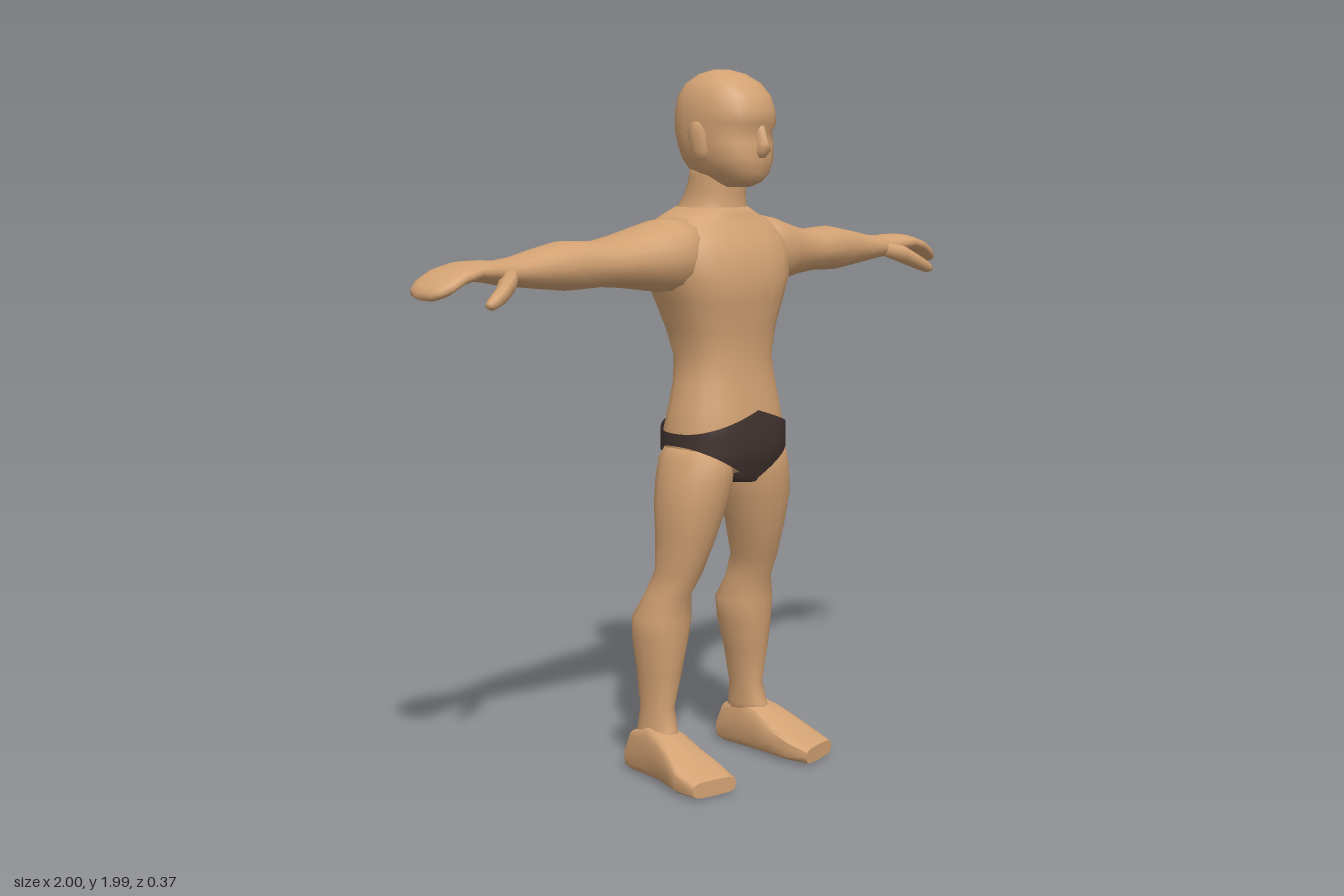
import * as THREE from 'three';
import { toCreasedNormals } from 'three/addons/utils/BufferGeometryUtils.js';

const skin = new THREE.MeshStandardMaterial({ color: 0xd3a273 });
skin.name = 'skin';
const cloth = new THREE.MeshStandardMaterial({ color: 0x41332f, side: THREE.DoubleSide });
cloth.name = 'dark cloth';

const spow = (c, e) => Math.sign(c) * Math.pow(Math.abs(c), 2 / e);

// Closed loft along an axis. Row: [position, uMin, uMax, vMin, vMax],
// where (u, v) is (y, z) for x, (z, x) for y and (x, y) for z.
function loft(axis, rows, n = 16, e = 2.3, mirror = false) {
  const w = 'xyz'.indexOf(axis), pos = [], idx = [];
  const put = (t, u, v) => {
    const p = [0, 0, 0];
    p[w] = t; p[(w + 1) % 3] = u; p[(w + 2) % 3] = v;
    pos.push(mirror ? -p[0] : p[0], p[1], p[2]);
  };
  const tri = (a, b, c) => (mirror ? idx.push(a, c, b) : idx.push(a, b, c));
  for (const [t, u0, u1, v0, v1] of rows) {
    for (let j = 0; j < n; j++) {
      const a = (j / n) * Math.PI * 2;
      put(t, (u0 + u1) / 2 + (u1 - u0) / 2 * spow(Math.cos(a), e),
        (v0 + v1) / 2 + (v1 - v0) / 2 * spow(Math.sin(a), e));
    }
  }
  const last = rows.length - 1, c0 = rows.length * n;
  for (const r of [rows[0], rows[last]]) put(r[0], (r[1] + r[2]) / 2, (r[3] + r[4]) / 2);
  for (let j = 0; j < n; j++) {
    const k = (j + 1) % n;
    for (let i = 0; i < last; i++) {
      const a = i * n + j, b = i * n + k;
      tri(a, b, a + n);
      tri(b, b + n, a + n);
    }
    tri(c0, k, j);
    tri(c0 + 1, last * n + j, last * n + k);
  }
  const g = new THREE.BufferGeometry();
  g.setAttribute('position', new THREE.Float32BufferAttribute(pos, 3));
  g.setIndex(idx);
  g.computeVertexNormals();
  return g;
}

// Symmetric row for lofts along y: height, back, front, half width
const sym = ([y, back, front, half]) => [y, back, front, -half, half];

// Briefs: a shell between a raised waistline and high-cut leg openings
function briefsGeometry(n = 64, m = 6) {
  const pos = [], idx = [];
  const depth = y => (y < 0.93 ? 0.115 + (y - 0.85) * 0.33 : 0.1415 - Math.max(0, y - 1) * 0.13);
  for (let i = 0; i <= m; i++) {
    for (let j = 0; j < n; j++) {
      const a = (j / n) * Math.PI * 2;
      const c = spow(Math.cos(a), 2.4), s = spow(Math.sin(a), 2.4);
      const low = 0.85 + 0.11 * Math.abs(c), top = 1.055 - 0.06 * Math.abs(c);
      const y = low + (top - low) * i / m;
      pos.push((0.193 - Math.max(0, y - 1) * 0.18) * c, y, depth(y) * s);
      if (i < m) {
        const p = i * n + j, q = i * n + (j + 1) % n;
        idx.push(p, p + n, q, q, p + n, q + n);
      }
    }
  }
  const g = new THREE.BufferGeometry();
  g.setAttribute('position', new THREE.Float32BufferAttribute(pos, 3));
  g.setIndex(idx);
  g.computeVertexNormals();
  return g;
}

export function createModel() {
  const model = new THREE.Group();
  model.name = 'figure';
  const add = (name, geo, mat = skin) => {
    const mesh = new THREE.Mesh(geo, mat);
    mesh.name = name;
    model.add(mesh);
  };

  // Torso and neck
  add('torso', loft('y', [
    [0.88, -0.1, 0.1, 0.165], [0.92, -0.122, 0.122, 0.183], [0.96, -0.134, 0.134, 0.186],
    [1.0, -0.134, 0.135, 0.186], [1.06, -0.122, 0.126, 0.174], [1.13, -0.113, 0.117, 0.158],
    [1.2, -0.118, 0.112, 0.146], [1.28, -0.14, 0.118, 0.165], [1.36, -0.163, 0.13, 0.197],
    [1.42, -0.175, 0.134, 0.225], [1.48, -0.182, 0.122, 0.24], [1.53, -0.182, 0.1, 0.235],
    [1.57, -0.174, 0.07, 0.2], [1.595, -0.16, 0.058, 0.14], [1.615, -0.143, 0.052, 0.095],
  ].map(sym), 24, 2.4));
  add('neck', loft('y', [
    [1.55, -0.15, 0.06, 0.12], [1.615, -0.142, 0.052, 0.092], [1.65, -0.115, 0.05, 0.084],
    [1.7, -0.095, 0.055, 0.083], [1.75, -0.09, 0.06, 0.08],
  ].map(sym), 16, 2.2));

  // Head with brow ridge, eye hollow and jaw
  add('head', loft('y', [
    [1.672, 0.0, 0.09, 0.035], [1.685, -0.04, 0.122, 0.058], [1.71, -0.09, 0.143, 0.085],
    [1.75, -0.117, 0.147, 0.107], [1.79, -0.131, 0.145, 0.114], [1.822, -0.138, 0.137, 0.116],
    [1.845, -0.141, 0.154, 0.117], [1.88, -0.14, 0.151, 0.116], [1.92, -0.131, 0.137, 0.109],
    [1.955, -0.108, 0.105, 0.09], [1.98, -0.07, 0.06, 0.058], [1.992, -0.03, 0.015, 0.02],
  ].map(sym), 20, 2.35));
  add('nose', loft('y', [
    [1.752, 0.12, 0.148, 0.02], [1.772, 0.12, 0.172, 0.021],
    [1.79, 0.12, 0.168, 0.016], [1.84, 0.12, 0.152, 0.011],
  ].map(sym), 8, 2));

  // Briefs
  add('briefs', briefsGeometry(), cloth);
  add('briefsGusset', loft('z', [
    [-0.116, -0.02, 0.02, 0.855, 0.9], [-0.07, -0.045, 0.045, 0.843, 0.93],
    [0.07, -0.045, 0.045, 0.843, 0.93], [0.116, -0.02, 0.02, 0.85, 0.9],
  ], 12, 3), cloth);

  for (const [side, mirror] of [['left', false], ['right', true]]) {
    // Arm running out to the curled fingers
    add(side + 'Arm', loft('x', [
      [0.1, 1.4, 1.598, -0.16, 0.07], [0.2, 1.385, 1.585, -0.178, 0.08],
      [0.27, 1.395, 1.566, -0.18, 0.06], [0.34, 1.405, 1.548, -0.176, 0.04],
      [0.42, 1.412, 1.534, -0.17, 0.027], [0.53, 1.408, 1.54, -0.17, 0.015],
      [0.62, 1.418, 1.524, -0.155, 0.0], [0.7, 1.428, 1.507, -0.14, -0.008],
      [0.77, 1.437, 1.5, -0.13, -0.01], [0.82, 1.447, 1.504, -0.137, 0.0],
      [0.87, 1.454, 1.502, -0.155, 0.003], [0.92, 1.442, 1.488, -0.166, 0.003],
      [0.96, 1.418, 1.468, -0.165, -0.003], [0.987, 1.41, 1.45, -0.145, -0.018],
      [1.0, 1.412, 1.435, -0.11, -0.045],
    ], 16, 2.3, mirror));
    add(side + 'Thumb', loft('x', [
      [0.74, 1.445, 1.485, -0.06, -0.015], [0.79, 1.42, 1.475, -0.035, 0.035],
      [0.84, 1.397, 1.442, 0.005, 0.054], [0.875, 1.386, 1.42, 0.02, 0.058],
      [0.89, 1.39, 1.408, 0.03, 0.052],
    ], 8, 2.3, mirror));
    // Ear
    add(side + 'Ear', loft('y', [
      [1.745, 0.0, 0.035, 0.09, 0.112], [1.77, -0.02, 0.045, 0.09, 0.122],
      [1.825, -0.03, 0.04, 0.09, 0.128], [1.85, -0.015, 0.025, 0.09, 0.118],
    ], 8, 2.3, mirror));
    // Leg from ankle to hip
    add(side + 'Leg', loft('y', [
      [0.09, -0.16, 0.0, 0.15, 0.235], [0.14, -0.147, -0.012, 0.148, 0.23],
      [0.2, -0.14, -0.03, 0.145, 0.226], [0.3, -0.15, -0.012, 0.125, 0.236],
      [0.4, -0.164, 0.0, 0.101, 0.249], [0.46, -0.165, 0.005, 0.092, 0.25],
      [0.53, -0.127, 0.012, 0.108, 0.226], [0.6, -0.098, 0.048, 0.096, 0.215],
      [0.7, -0.1, 0.08, 0.065, 0.221], [0.79, -0.108, 0.102, 0.037, 0.226],
      [0.86, -0.115, 0.112, 0.02, 0.216], [0.92, -0.116, 0.113, 0.02, 0.2],
      [0.96, -0.09, 0.09, 0.04, 0.182],
    ], 16, 2.2, mirror));
    // Flat-soled foot with a slanted toe edge
    const foot = loft('z', [
      [-0.178, 0.155, 0.228, 0.008, 0.07], [-0.155, 0.15, 0.234, 0, 0.12],
      [-0.08, 0.147, 0.245, 0, 0.15], [-0.01, 0.14, 0.262, 0, 0.132],
      [0.05, 0.136, 0.28, 0, 0.1], [0.12, 0.136, 0.295, 0, 0.073],
      [0.19, 0.15, 0.292, 0.002, 0.048],
    ], 16, 4, mirror);
    const p = foot.attributes.position;
    for (let i = 0; i < p.count; i++) {
      if (p.getZ(i) > 0.1) p.setZ(i, p.getZ(i) - (Math.abs(p.getX(i)) - 0.15) * 0.2);
    }
    add(side + 'Foot', toCreasedNormals(foot, 0.7));
  }
  return model;
}
